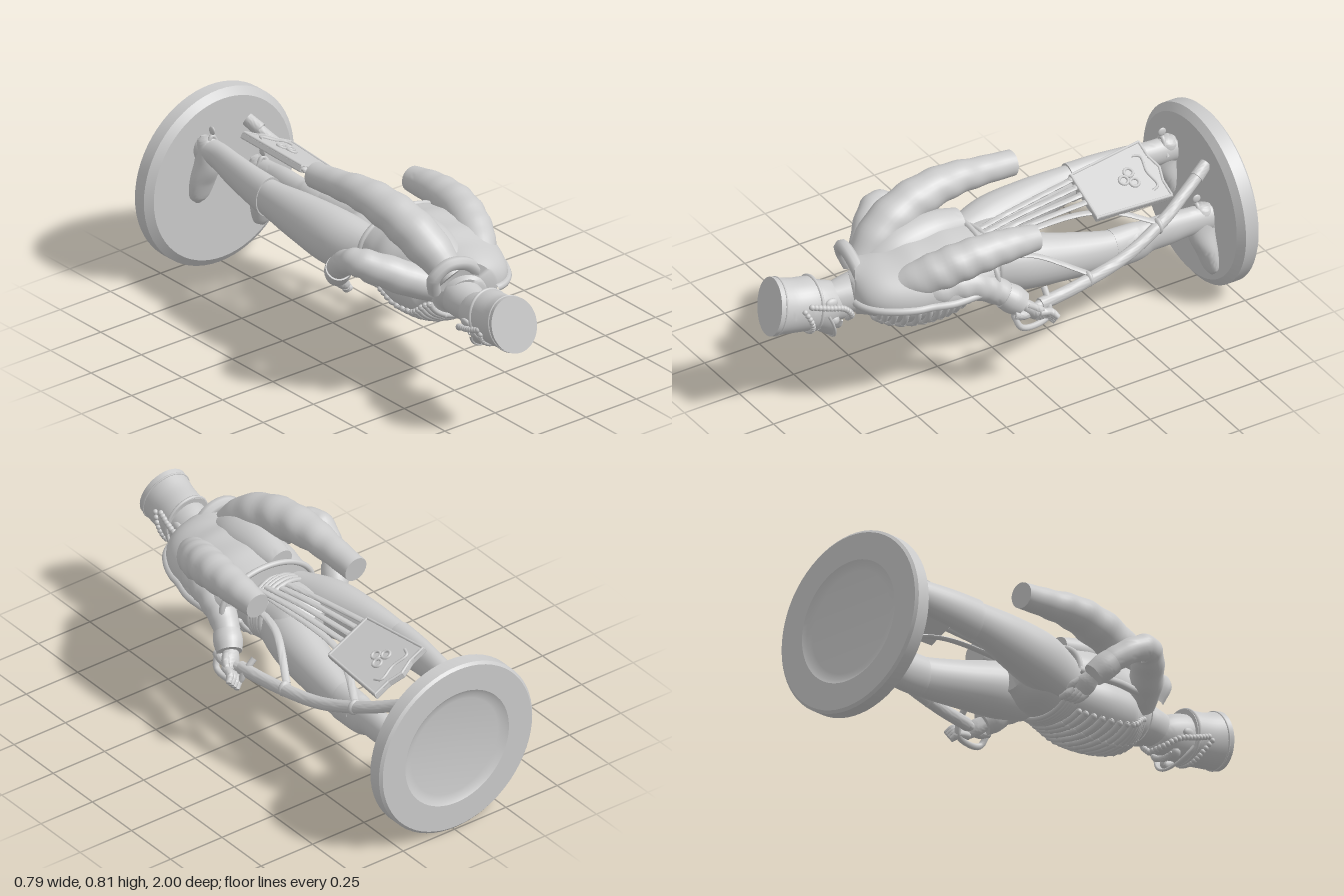
import * as THREE from 'three';
import { toCreasedNormals } from 'three/addons/utils/BufferGeometryUtils.js';

const V = (x, y, z) => new THREE.Vector3(x, y, z);
const solid = new THREE.MeshStandardMaterial({ color: 0xcccccc });
const thin = new THREE.MeshStandardMaterial({ color: 0xcccccc, side: THREE.DoubleSide });

export function createModel() {
  const model = new THREE.Group();
  const add = (name, geo, parent = model, mat = solid) => {
    const m = new THREE.Mesh(geo, mat);
    m.name = name;
    parent.add(m);
    return m;
  };

  // Sweeps an ellipse along stations [x, y, z, rx, ry]; returns its surface function
  function sweep(name, pts, o = {}) {
    const { ref = V(0, 1, 0), arc = [0, Math.PI * 2], mat = solid, ripple = 0, freq = 45, n = 28, parent = model } = o;
    const path = new THREE.CatmullRomCurve3(pts.map(p => V(p[0], p[1], p[2])), false, 'catmullrom', 0.5);
    const size = new THREE.CatmullRomCurve3(pts.map(p => V(p[3], p[4] ?? p[3], 0)), false, 'catmullrom', 0.5);
    const at = (u, a, off = 0) => {
      const t = path.getTangent(u), r = size.getPoint(u);
      const s = ref.clone().cross(t).normalize(), up = t.clone().cross(s);
      const k = 1 + ripple * Math.sin(u * freq + 2 * Math.sin(a)) * Math.sin(u * Math.PI);
      return path.getPoint(u)
        .addScaledVector(s, Math.cos(a) * (r.x * k + off))
        .addScaledVector(up, Math.sin(a) * (r.y * k + off));
    };
    const rows = (pts.length - 1) * 8, pos = [], idx = [];
    for (let i = 0; i <= rows; i++)
      for (let j = 0; j <= n; j++) pos.push(...at(i / rows, arc[0] + (arc[1] - arc[0]) * j / n).toArray());
    for (let i = 0; i < rows; i++)
      for (let j = 0; j < n; j++) {
        const a = i * (n + 1) + j, b = a + n + 1;
        idx.push(a, a + 1, b + 1, a, b + 1, b);
      }
    for (const i of [0, rows]) {
      const c = pos.length / 3;
      pos.push(...path.getPoint(i / rows).toArray());
      for (let j = 0; j < n; j++) {
        const a = i * (n + 1) + j;
        i ? idx.push(c, a, a + 1) : idx.push(c, a + 1, a);
      }
    }
    const g = new THREE.BufferGeometry();
    g.setAttribute('position', new THREE.Float32BufferAttribute(pos, 3));
    g.setIndex(idx);
    add(name, toCreasedNormals(g, 0.9), parent, mat);
    return at;
  }
  const tube = (name, pts, r, parent = model, seg = 24) =>
    add(name, new THREE.TubeGeometry(new THREE.CatmullRomCurve3(pts), seg, r, 8), parent);
  const ball = (name, p, r, parent = model, s = [1, 1, 1]) => {
    const m = add(name, new THREE.SphereGeometry(r, 14, 10), parent);
    m.position.copy(p);
    m.scale.set(...s);
  };

  // Round base with chamfered rim and dished underside
  const profile = [[0, -0.984], [0.21, -0.985], [0.235, -0.99], [0.252, -1], [0.362, -1], [0.373, -0.99], [0.373, -0.935], [0.342, -0.912], [0, -0.912]];
  const baseGeo = new THREE.LatheGeometry(profile.map(p => new THREE.Vector2(...p)), 64).rotateX(Math.PI / 2);
  add('base', toCreasedNormals(baseGeo, 0.4)).position.set(-0.013, 0.375, 0);

  // Body
  const torso = sweep('torso', [[-0.02, 0.45, -0.12, 0.08, 0.08], [-0.015, 0.45, -0.04, 0.15, 0.12], [0.0, 0.45, 0.08, 0.145, 0.125],
    [0.01, 0.447, 0.16, 0.15, 0.125], [0.015, 0.445, 0.3, 0.185, 0.145], [0.02, 0.455, 0.45, 0.19, 0.135],
    [-0.005, 0.47, 0.55, 0.135, 0.105], [-0.035, 0.46, 0.62, 0.08, 0.085]], { n: 48, ref: V(-0.25, 1, 0) });
  // Chest braid: rows of cord round the front, with buttons
  const front = -Math.PI / 2;
  for (let i = 0; i < 13; i++) {
    const place = (k, off) => torso(0.42 + i * 0.034 + 0.025 * Math.abs(k), front + k * (1.1 + i * 0.03), off);
    tube('chestBraid', Array.from({ length: 13 }, (_, j) => place(j / 6 - 1, 0.004)), 0.0125, model, 36);
    for (const k of [-0.95, -0.45, 0, 0.45, 0.95]) ball('jacketButton', place(k, 0.006), 0.013);
  }
  // Barrel sash and belt round the waist
  for (let i = 0; i < 5; i++) {
    const pts = Array.from({ length: 28 }, (_, j) => torso(0.27 + i * 0.027, j / 14 * Math.PI, 0.004));
    add('waistSash', new THREE.TubeGeometry(new THREE.CatmullRomCurve3(pts, true), 56, 0.011, 8, true));
  }

  // Legs, tall boots and feet
  sweep('rightLeg', [[-0.085, 0.465, 0.12, 0.08, 0.1], [-0.125, 0.48, -0.06, 0.1, 0.118], [-0.145, 0.5, -0.25, 0.083, 0.103],
    [-0.157, 0.515, -0.42, 0.06, 0.08], [-0.152, 0.525, -0.55, 0.05, 0.068]]);
  sweep('rightBoot', [[-0.156, 0.518, -0.45, 0.062, 0.086], [-0.15, 0.528, -0.57, 0.055, 0.077], [-0.135, 0.537, -0.7, 0.049, 0.067],
    [-0.12, 0.545, -0.8, 0.046, 0.056], [-0.12, 0.542, -0.9, 0.047, 0.056]]);
  sweep('leftLeg', [[0.055, 0.44, 0.08, 0.08, 0.1], [0.075, 0.415, -0.08, 0.1, 0.115], [0.105, 0.388, -0.27, 0.083, 0.097],
    [0.13, 0.368, -0.45, 0.062, 0.082], [0.135, 0.37, -0.56, 0.055, 0.074]]);
  sweep('leftBoot', [[0.13, 0.366, -0.46, 0.063, 0.085], [0.132, 0.365, -0.57, 0.056, 0.084], [0.134, 0.373, -0.63, 0.05, 0.07], [0.137, 0.375, -0.72, 0.05, 0.068],
    [0.14, 0.375, -0.8, 0.046, 0.06], [0.143, 0.37, -0.9, 0.047, 0.06]]);
  const foot = (side, heel, toe) => {
    const mix = (t, z, rx, ry) => [heel[0] + (toe[0] - heel[0]) * t, heel[1] + (toe[1] - heel[1]) * t, z, rx, ry];
    sweep(side + 'Foot', [mix(0, -0.88, 0.025, 0.03), mix(0.08, -0.875, 0.042, 0.045), mix(0.35, -0.862, 0.046, 0.056),
      mix(0.65, -0.88, 0.056, 0.04), mix(0.9, -0.893, 0.044, 0.026), mix(1, -0.897, 0.012, 0.01)], { ref: V(0, 0, 1) });
    tube(side + 'Spur', [V(heel[0] - 0.04, heel[1] - 0.06, -0.85), V(heel[0], heel[1] + 0.012, -0.85), V(heel[0] + 0.04, heel[1] - 0.06, -0.85)], 0.009);
    ball(side + 'SpurWheel', V(heel[0], heel[1] + 0.035, -0.85), 0.018, model, [0.35, 1, 1]);
  };
  foot('right', [-0.115, 0.6], [-0.15, 0.32]);
  foot('left', [0.135, 0.43], [0.175, 0.125]);

  // Arms with cuffs
  sweep('leftArm', [[0.11, 0.48, 0.51, 0.05], [0.185, 0.515, 0.4, 0.07], [0.225, 0.52, 0.26, 0.064], [0.245, 0.465, 0.15, 0.056], [0.285, 0.4, 0.06, 0.044]], { ripple: 0.04 });
  sweep('leftCuff', [[0.262, 0.435, 0.11, 0.054], [0.278, 0.412, 0.08, 0.058], [0.295, 0.388, 0.05, 0.05]]);
  sweep('rightArm', [[-0.11, 0.49, 0.51, 0.06], [-0.21, 0.535, 0.44, 0.068], [-0.315, 0.585, 0.345, 0.06], [-0.338, 0.58, 0.28, 0.052],
    [-0.31, 0.515, 0.18, 0.049], [-0.26, 0.43, 0.1, 0.042]], { ripple: 0.04 });
  sweep('rightCuff', [[-0.3, 0.495, 0.16, 0.052], [-0.281, 0.463, 0.13, 0.054], [-0.26, 0.43, 0.1, 0.047]]);
  // Hand: palm, four fingers held together and a thumb
  const hand = (side, wrist, knuckle, tip, across) => {
    const w = V(...wrist), k = V(...knuckle), t = V(...tip), c = V(...across);
    const st = (p, rx, ry) => [p.x, p.y, p.z, rx, ry];
    sweep(side + 'Palm', [st(w, 0.034, 0.028), st(w.clone().lerp(k, 0.5), 0.042, 0.03), st(k, 0.038, 0.022)], { ref: c.clone().cross(k.clone().sub(w)) });
    for (let i = 0; i < 4; i++) {
      const off = c.clone().multiplyScalar((i - 1.5) * 0.019);
      const bend = k.clone().lerp(t, 0.55).add(c.clone().cross(t.clone().sub(k)).multiplyScalar(0.2));
      sweep(side + 'Finger', [st(k.clone().add(off), 0.0165), st(bend.add(off), 0.016), st(t.clone().add(off), 0.011)], { n: 10 });
    }
    const th = w.clone().lerp(k, 0.35).addScaledVector(c, 0.03);
    sweep(side + 'Thumb', [st(th, 0.016), st(th.clone().lerp(t, 0.35).addScaledVector(c, 0.018), 0.015), st(th.clone().lerp(t, 0.7).addScaledVector(c, 0.012), 0.008)], { n: 10 });
  };
  hand('left', [0.285, 0.385, 0.05], [0.335, 0.345, 0.0], [0.367, 0.317, -0.065], [0.62, 0.7, 0.1]);
  hand('right', [-0.255, 0.42, 0.095], [-0.21, 0.37, 0.075], [-0.165, 0.34, 0.05], [0.35, 0.1, -0.93]);

  // Jacket slung over the back, with empty sleeves and fur edging
  const arc = [-0.1, Math.PI + 0.1];
  const cape = sweep('slungJacket', [[0.05, 0.505, 0.13, 0.215, 0.135], [0.045, 0.5, 0.25, 0.235, 0.16], [0.03, 0.5, 0.4, 0.228, 0.155],
    [0.015, 0.5, 0.52, 0.195, 0.13], [-0.035, 0.5, 0.61, 0.12, 0.11]], { mat: thin, arc, ripple: 0.015, freq: 22, n: 40 });
  const edge = f => Array.from({ length: 17 }, (_, i) => f(i / 16));
  tube('jacketHem', edge(t => cape(0, arc[0] + (arc[1] - arc[0]) * t)), 0.012, model, 48);
  for (const a of arc) tube('jacketFrontEdge', edge(t => cape(t, a)), 0.016, model, 40);
  tube('furCollar', [V(-0.15, 0.5, 0.56), V(-0.17, 0.57, 0.585), V(-0.12, 0.62, 0.605), V(-0.04, 0.61, 0.615), V(0.025, 0.55, 0.61), V(0.055, 0.47, 0.59), V(0.06, 0.42, 0.55)], 0.027, model, 48);
  sweep('rightEmptySleeve', [[-0.07, 0.54, 0.57, 0.06], [-0.1, 0.645, 0.45, 0.086], [-0.122, 0.715, 0.3, 0.084], [-0.135, 0.742, 0.13, 0.074, 0.07],
    [-0.142, 0.73, -0.03, 0.058], [-0.145, 0.715, -0.18, 0.052]], { ripple: 0.035 });
  sweep('leftEmptySleeve', [[0.11, 0.53, 0.53, 0.06], [0.18, 0.585, 0.4, 0.078], [0.222, 0.63, 0.26, 0.076], [0.235, 0.64, 0.1, 0.067], [0.235, 0.63, -0.05, 0.052]],
    { ripple: 0.035 });
  // Cloth drawn up between the raised sleeve and the back
  sweep('jacketFold', [[-0.02, 0.56, 0.54, 0.06, 0.05], [-0.02, 0.615, 0.42, 0.085, 0.065], [-0.02, 0.635, 0.28, 0.08, 0.065], [-0.02, 0.625, 0.14, 0.06, 0.05]],
    { ref: V(0.6, 1, 0) });

  // Head, turned a little to its left
  sweep('neck', [[-0.04, 0.46, 0.58, 0.078, 0.085], [-0.045, 0.455, 0.63, 0.075, 0.078], [-0.05, 0.45, 0.7, 0.06, 0.07]]);
  const head = new THREE.Group();
  head.name = 'head';
  head.position.set(-0.06, 0.455, 0);
  head.rotation.z = 0.3;
  model.add(head);
  sweep('skull', [[0, -0.055, 0.635, 0.02, 0.025], [0, -0.05, 0.655, 0.05, 0.055], [0, -0.025, 0.7, 0.072, 0.083], [0, -0.01, 0.76, 0.083, 0.096], [0, 0, 0.82, 0.085, 0.1]], { parent: head });
  sweep('nose', [[0, -0.108, 0.77, 0.009, 0.009], [0, -0.126, 0.735, 0.014, 0.018], [0, -0.115, 0.718, 0.012, 0.01]], { parent: head, n: 12 });
  for (const s of [-1, 1]) {
    sweep('moustache', [[0, -0.11, 0.707, 0.012], [s * 0.03, -0.108, 0.703, 0.013], [s * 0.06, -0.085, 0.7, 0.004]], { ref: V(0, 0, 1), parent: head, n: 10 });
    ball('ear', V(s * 0.084, 0.005, 0.745), 0.028, head, [0.4, 0.7, 1]);
    ball('cheek', V(s * 0.042, -0.075, 0.73), 0.026, head);
    // Beaded chin cord looping from the hat
    const cord = new THREE.CatmullRomCurve3([V(s * 0.096, 0.02, 0.84), V(s * 0.1, -0.005, 0.77), V(s * 0.09, -0.03, 0.7), V(s * 0.06, -0.075, 0.655), V(0, -0.105, 0.642)]);
    cord.getSpacedPoints(17).forEach(p => ball('chinCordBead', p, 0.0125, head));
  }
  const hat = sweep('hat', [[0, 0.005, 0.785, 0.094, 0.107], [0, 0.01, 0.82, 0.096, 0.108], [-0.005, 0.022, 0.89, 0.096, 0.109], [-0.008, 0.042, 0.967, 0.1, 0.117]], { parent: head, n: 40 });
  const hatRing = (name, u, r) => add(name, new THREE.TubeGeometry(new THREE.CatmullRomCurve3(
    Array.from({ length: 24 }, (_, j) => hat(u, j / 12 * Math.PI)), true), 48, r, 8, true), head);
  hatRing('hatBand', 0.08, 0.007);
  hatRing('hatTopBand', 0.9, 0.004);
  // Draped cord on the hat front
  for (let i = 0; i <= 20; i++) {
    const k = i / 10 - 1;
    ball('hatCordBead', hat(0.25 + 0.3 * k * k, front + k * 1.5, 0.003), 0.011, head);
  }
  // Sloping visor
  const brim = (u, v, target) => {
    const a = front + (u - 0.5) * 2.5, reach = v * 0.042 * Math.cos((u - 0.5) * 2.5);
    target.set(Math.cos(a) * (0.096 + reach * 0.4), Math.sin(a) * (0.108 + reach), 0.795 - reach * 1.6);
  };
  const visor = new THREE.PlaneGeometry(1, 1, 24, 6), vp = visor.attributes.position, q = V(0, 0, 0);
  for (let i = 0; i < vp.count; i++) {
    brim(vp.getX(i) + 0.5, vp.getY(i) + 0.5, q);
    vp.setXYZ(i, q.x, q.y, q.z);
  }
  visor.computeVertexNormals();
  add('visor', visor, head, thin);
  tube('visorRim', edge(t => { const p = V(0, 0, 0); brim(t, 1, p); return p; }), 0.006, head);

  // Sabre in its scabbard, with grip and guard
  const blade = [[0.3, 0.36, -0.03], [0.28, 0.37, -0.22], [0.247, 0.4, -0.45], [0.2, 0.465, -0.65], [0.145, 0.53, -0.8], [0.11, 0.59, -0.905]];
  sweep('scabbard', blade.map((p, i) => [...p, 0.024, 0.028 - i * 0.001]));
  sweep('scabbardTip', [[0.128, 0.56, -0.855, 0.026, 0.03], [0.108, 0.592, -0.91, 0.024, 0.028]]);
  sweep('sabreGrip', [[0.3, 0.36, -0.03, 0.02], [0.32, 0.355, 0.05, 0.02], [0.315, 0.37, 0.1, 0.022]]);
  tube('sabreGuard', [V(0.315, 0.37, 0.1), V(0.335, 0.315, 0.08), V(0.335, 0.3, 0.02), V(0.325, 0.315, -0.05), V(0.305, 0.365, -0.065), V(0.265, 0.41, -0.07)], 0.013);
  for (const p of [[0.27, 0.378, -0.27], [0.205, 0.457, -0.63]]) ball('scabbardRing', V(...p), 0.034, model, [0.9, 1, 0.5]);
  const sling = { n: 12 };
  sweep('frontSling', [[0.13, 0.51, 0.1, 0.016, 0.007], [0.165, 0.495, -0.08, 0.016, 0.007], [0.26, 0.4, -0.27, 0.016, 0.007]], sling);
  sweep('rearSling', [[0.1, 0.56, 0.08, 0.016, 0.007], [0.085, 0.55, -0.3, 0.016, 0.007], [0.13, 0.53, -0.48, 0.016, 0.007], [0.195, 0.475, -0.62, 0.016, 0.007]], sling);

  // Flat hanging pouch with straps, border and trefoil ornament
  const pouch = new THREE.Group();
  pouch.name = 'hangingPouch';
  pouch.position.set(0.042, 0.582, -0.555);
  pouch.rotation.set(0.04, 0, -0.46);
  model.add(pouch);
  const corners = [[-0.105, -0.165], [0.105, -0.165], [0.132, 0.16], [0.06, 0.16], [0, 0.178], [-0.06, 0.16], [-0.132, 0.16]];
  const flap = new THREE.ExtrudeGeometry(new THREE.Shape(corners.map(p => new THREE.Vector2(...p))),
    { depth: 0.018, bevelSize: 0.005, bevelThickness: 0.005, bevelSegments: 2 });
  add('pouchFlap', flap.rotateX(-Math.PI / 2), pouch);
  corners.forEach((p, i) => {
    const n = corners[(i + 1) % corners.length];
    tube('pouchBorder', [V(p[0], 0.022, -p[1]), V(n[0], 0.022, -n[1])], 0.006, pouch, 2);
  });
  for (const [x, z] of [[-0.024, -0.05], [0.024, -0.05], [0, -0.015]]) {
    const ring = add('trefoilOrnament', new THREE.TorusGeometry(0.018, 0.006, 8, 18).rotateX(Math.PI / 2), pouch);
    ring.position.set(x, 0.025, z);
  }
  tube('ornamentScroll', [V(-0.085, 0.025, -0.1), V(-0.07, 0.025, -0.13), V(0, 0.025, -0.12), V(0.07, 0.025, -0.13), V(0.085, 0.025, -0.1)], 0.006, pouch);
  for (let i = 0; i < 4; i++) {
    const x = -0.035 + i * 0.034, y = 0.627 - i * 0.017;
    sweep('pouchStrap', [[x + 0.045, 0.575, 0.1, 0.013, 0.007], [x + 0.02, 0.594 - i * 0.005, -0.1, 0.014, 0.007], [x, y, -0.4, 0.014, 0.007]], sling);
    ball('strapBuckle', V(x, y, -0.385), 0.015, model, [1, 0.6, 1.2]);
  }
  return model;
}
